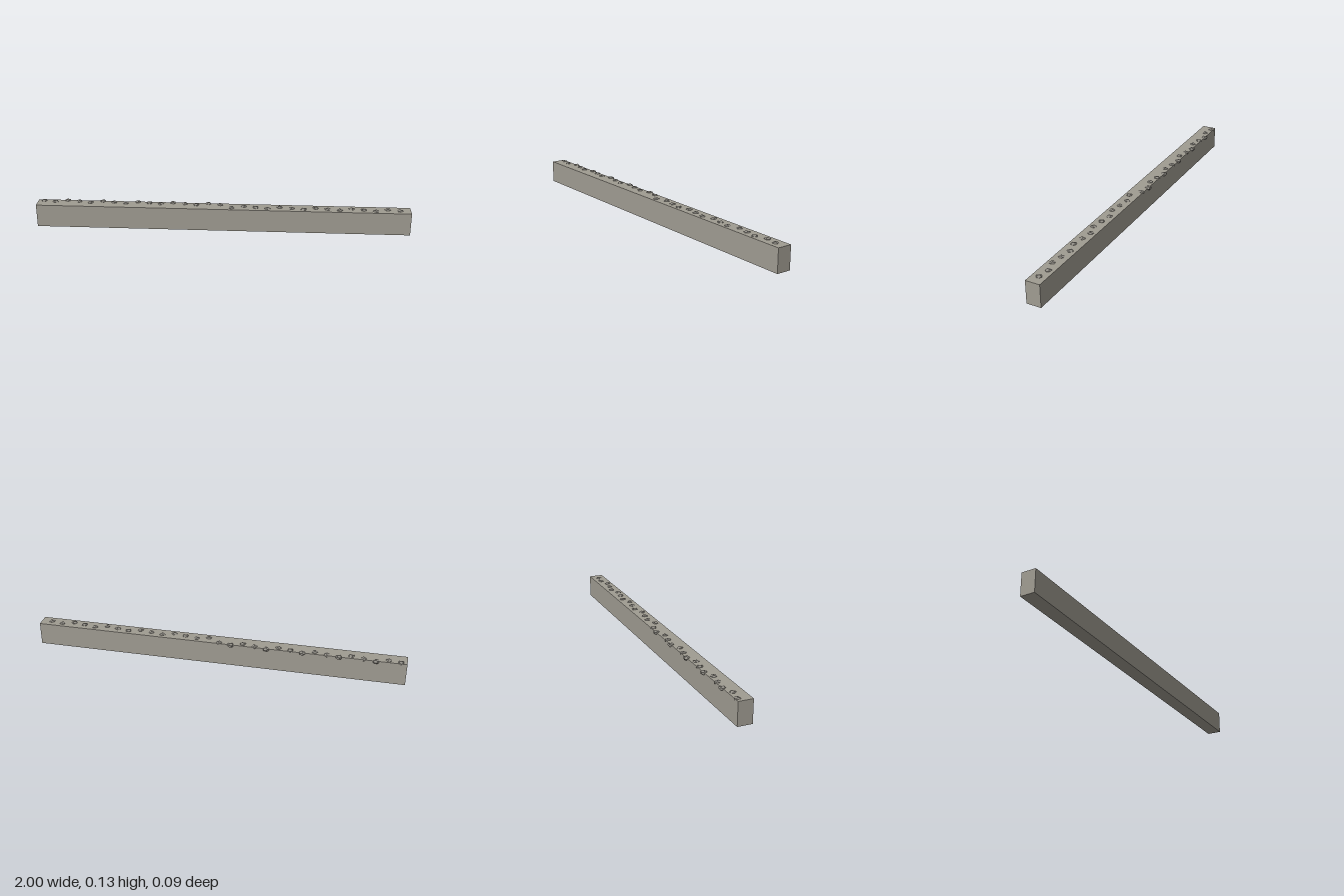
import * as THREE from 'three';

export function createModel() {
  const model = new THREE.Group();
  const wallStone = new THREE.MeshStandardMaterial({ color: 0xa09c92, flatShading: true });
  wallStone.name = 'wallStone';
  const pebbleStone = new THREE.MeshStandardMaterial({ color: 0x8e8b84, flatShading: true });
  pebbleStone.name = 'pebbleStone';

  // Long kerb block
  const block = new THREE.Mesh(new THREE.BoxGeometry(2, 0.124, 0.078), wallStone);
  block.name = 'kerbBlock';
  block.position.set(0, 0.062, 0.008);
  model.add(block);

  // Faceted pebbles along the top, in a repeating three-step zigzag;
  // the left-hand run sits further back than the right-hand run
  const pebbles = new THREE.Group();
  pebbles.name = 'pebbles';
  const pebble = new THREE.DodecahedronGeometry(0.0185);
  const zigzag = [-0.017, -0.007, -0.027];
  for (let i = 0; i < 31; i++) {
    const stone = new THREE.Mesh(pebble, pebbleStone);
    stone.name = 'pebble';
    const z = zigzag[i % 3] + (i < 16 ? 0 : 0.027);
    stone.position.set(-0.968 + i * 0.0637, 0.1205, z);
    stone.scale.set(1, 0.6, 1);
    stone.rotation.y = i * 0.7;
    pebbles.add(stone);
  }
  model.add(pebbles);
  return model;
}
